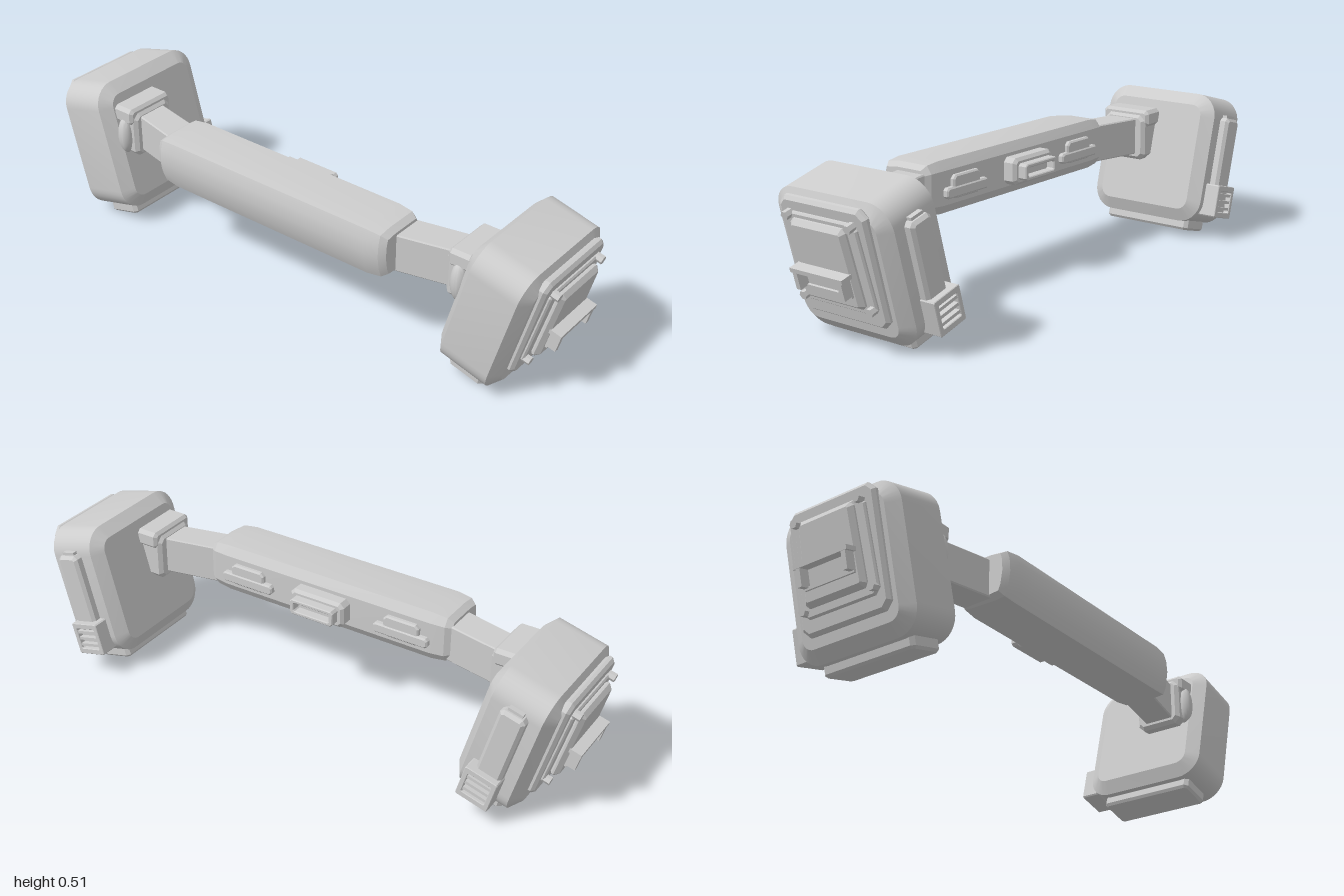
import * as THREE from 'three';
import { toCreasedNormals } from 'three/addons/utils/BufferGeometryUtils.js';

const grey = new THREE.MeshStandardMaterial({ color: 0xcccccc });
grey.name = 'lightGrey';

function add(parent, name, geometry, x = 0, y = 0, z = 0) {
  const mesh = new THREE.Mesh(toCreasedNormals(geometry, 0.45), grey);
  mesh.name = name;
  mesh.position.set(x, y, z);
  parent.add(mesh);
  return mesh;
}

// Trapezoid outline with cut corners
function outline(bottom, top, h, c) {
  const b = bottom / 2, t = top / 2, k = h / 2;
  return new THREE.Shape([
    [-b + c, -k], [b - c, -k], [b, -k + c], [t, k - c],
    [t - c, k], [-t + c, k], [-t, k - c], [-b, -k + c],
  ].map(([x, y]) => new THREE.Vector2(x, y)));
}

function roundedOutline(w, h, r) {
  const a = w / 2, b = h / 2, s = new THREE.Shape();
  s.absarc(a - r, b - r, r, 0, Math.PI / 2);
  s.absarc(-a + r, b - r, r, Math.PI / 2, Math.PI);
  s.absarc(-a + r, -b + r, r, Math.PI, Math.PI * 1.5);
  s.absarc(a - r, -b + r, r, Math.PI * 1.5, Math.PI * 2);
  s.closePath();
  return s;
}

// Plate of full thickness t starting at z = 0, with edges bevelled inward
function plate(shape, t, bevel, size = bevel, segments = 1) {
  return new THREE.ExtrudeGeometry(shape, {
    depth: t - 2 * bevel, bevelThickness: bevel, bevelSize: size,
    bevelOffset: -size, bevelSegments: segments, curveSegments: 4,
  }).translate(0, 0, bevel);
}
const outward = (g) => g.rotateY(Math.PI / 2); // thickness along +x
const backward = (g) => g.rotateY(Math.PI);    // thickness along -z
const box = (w, h, d) => new THREE.BoxGeometry(w, h, d);

// Tilted pod; its children use the pod's own tilted axes
function makePod() {
  const pod = new THREE.Group();
  pod.name = 'pod';
  pod.rotation.z = -Math.PI / 12;
  const zc = 0.013;

  add(pod, 'podBody', outward(plate(roundedOutline(0.45, 0.46, 0.08), 0.225, 0.028, 0.042)), 0.585, 0.463, zc);
  add(pod, 'podFoot', plate(outline(0.125, 0.125, 0.345, 0.012), 0.05, 0.008).rotateX(-Math.PI / 2), 0.694, 0.202, zc);

  // Stacked outer panels
  add(pod, 'outerPanel', outward(plate(outline(0.335, 0.335, 0.378, 0.025), 0.03, 0.01)), 0.798, 0.497, zc);
  add(pod, 'innerPanel', outward(plate(outline(0.29, 0.27, 0.29, 0.02), 0.016, 0.005)), 0.822, 0.501, zc);
  add(pod, 'hatch', outward(plate(outline(0.232, 0.212, 0.255, 0.012), 0.034, 0.014)), 0.83, 0.508, zc);
  for (const side of [-1, 1]) {
    for (const [v, z] of [[0.64, 0.121], [0.378, 0.131]]) {
      add(pod, 'bolt', new THREE.CylinderGeometry(0.014, 0.014, 0.026, 6).rotateZ(Math.PI / 2), 0.843, v, zc + side * z);
    }
    add(pod, 'handleStrut', box(0.062, 0.058, 0.016), 0.868, 0.461, zc + side * 0.087);
  }
  // Pull handle
  add(pod, 'handleBar', box(0.065, 0.014, 0.204), 0.868, 0.494, zc);
  add(pod, 'handleBase', box(0.02, 0.01, 0.19), 0.862, 0.431, zc);

  // Rear strip and buckle
  add(pod, 'rearStrip', backward(plate(outline(0.085, 0.085, 0.265, 0.012), 0.05, 0.01)), 0.70, 0.49, -0.193);
  add(pod, 'rearCap', box(0.05, 0.02, 0.02), 0.70, 0.622, -0.217);
  const frame = outline(0.112, 0.112, 0.115, 0.004);
  frame.holes.push(outline(0.08, 0.08, 0.075, 0.003));
  add(pod, 'buckleFrame', backward(plate(frame, 0.07, 0.002)), 0.69, 0.324, -0.195);
  add(pod, 'buckleBack', box(0.09, 0.09, 0.04), 0.69, 0.324, -0.225);
  for (const v of [0.3, 0.324, 0.348]) add(pod, 'buckleSlat', box(0.084, 0.01, 0.02), 0.69, v, -0.252);
  return pod;
}

// One side: pod, socket and angled arm
function makeSide() {
  const side = new THREE.Group();
  side.name = 'side';
  side.add(makePod());
  add(side, 'socket', outward(plate(outline(0.17, 0.17, 0.165, 0.02), 0.10, 0.012)), 0.635, 0.352, 0.097);
  add(side, 'socketCap', outward(plate(outline(0.19, 0.19, 0.06, 0.012), 0.085, 0.01)), 0.645, 0.42, 0.097);
  add(side, 'socketBoss', new THREE.SphereGeometry(1, 20, 12).scale(0.028, 0.068, 0.03), 0.685, 0.345, 0.18);
  const arm = new THREE.Shape([[0.42, -0.205], [0.66, -0.15], [0.66, -0.042], [0.42, -0.092]]
    .map(([x, y]) => new THREE.Vector2(x, y)));
  add(side, 'arm', plate(arm, 0.13, 0.004).rotateX(-Math.PI / 2), 0, 0.29, 0);
  return side;
}

export function createModel() {
  const model = new THREE.Group();
  model.name = 'headsetFrame';

  // Central grip: bulged front, bevelled ends
  const profile = new THREE.Shape([
    [0.065, 0.31], [0.085, 0.28], [0.2, 0.277], [0.243, 0.281], [0.257, 0.315],
    [0.265, 0.365], [0.262, 0.41], [0.252, 0.443], [0.2, 0.45], [0.085, 0.45], [0.065, 0.42],
  ].map(([z, y]) => new THREE.Vector2(-z, y)));
  add(model, 'grip', outward(plate(profile, 0.93, 0.07, 0.02, 2)), -0.465, 0, 0);

  // Control block in the middle of the back
  add(model, 'controlBase', backward(plate(outline(0.205, 0.205, 0.09, 0.015), 0.055, 0.01)), 0, 0.365, 0.072);
  const rim = outline(0.165, 0.165, 0.055, 0.008);
  rim.holes.push(outline(0.135, 0.135, 0.03, 0.004));
  add(model, 'controlRim', backward(plate(rim, 0.037, 0.003)), 0, 0.365, 0.023);

  for (const s of [-1, 1]) {
    // Ridged clips on the back
    add(model, 'clipRidge', backward(plate(outline(0.2, 0.2, 0.035, 0.008), 0.024, 0.005)), s * 0.297, 0.35, 0.07);
    add(model, 'clipBar', backward(plate(outline(0.13, 0.13, 0.075, 0.012), 0.02, 0.005)), s * 0.297, 0.365, 0.07);
    const side = makeSide();
    side.scale.x = s;
    side.name = s > 0 ? 'leftSide' : 'rightSide';
    model.add(side);
  }
  return model;
}
